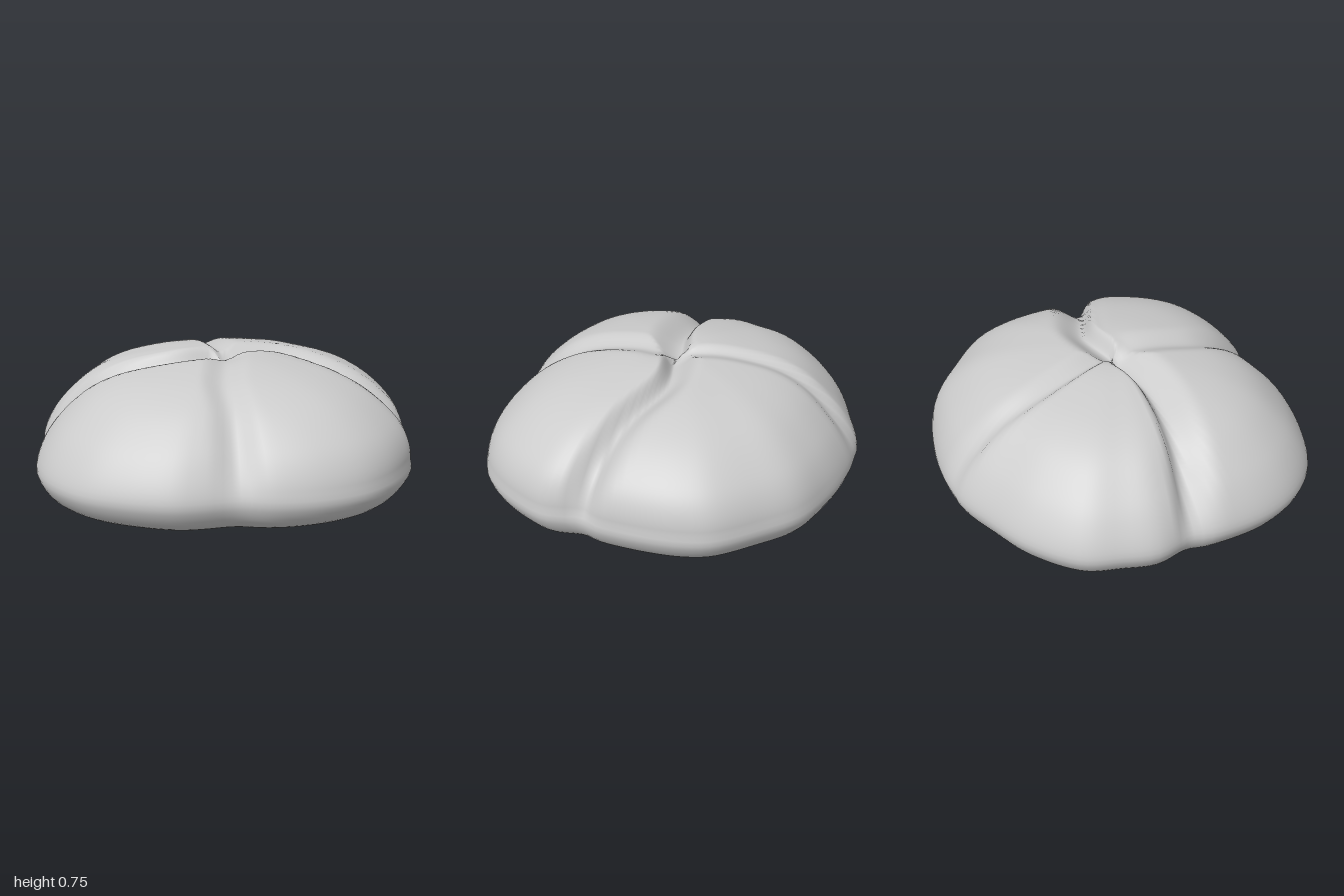
import * as THREE from 'three';
import { mergeVertices } from 'three/addons/utils/BufferGeometryUtils.js';

const COLS = 144, ROWS = 84;

// Footprint of the loaf seen from above, as x, z
const outline = new THREE.CatmullRomCurve3([
  [1, 0], [0.99, 0.1], [0.96, 0.2], [0.98, 0.38], [0.93, 0.52], [0.82, 0.7], [0.68, 0.83], [0.47, 0.92],
  [0.24, 0.95], [0.04, 0.925], [-0.15, 0.96], [-0.28, 0.97], [-0.5, 0.92], [-0.73, 0.81], [-0.9, 0.62],
  [-0.98, 0.4], [-0.99, 0.1], [-0.965, -0.03], [-1, -0.22], [-0.95, -0.4], [-0.88, -0.59], [-0.65, -0.79],
  [-0.4, -0.9], [-0.18, -0.975], [0.12, -0.975], [0.36, -0.93], [0.58, -0.85], [0.75, -0.7], [0.93, -0.5],
  [0.98, -0.36], [1, -0.2],
].map(([x, z]) => new THREE.Vector3(x, 0, z)), true);

// Cross-section from the centre of the base to the crown: share of the radius, height
const profile = new THREE.SplineCurve([
  [0, 0], [0.35, 0.003], [0.65, 0.01], [0.8, 0.02], [0.93, 0.08], [0.99, 0.16], [1, 0.23], [0.955, 0.34],
  [0.87, 0.46], [0.73, 0.59], [0.58, 0.67], [0.4, 0.72], [0.2, 0.75], [0, 0.745],
].map(([r, y]) => new THREE.Vector2(r, y)));

// Score cuts: path in x, z, depth, and the width on each side of the path
const cuts = [
  { path: [[0.05, 0], [0.3, -0.04], [0.6, 0.07], [0.97, 0.2]], depth: 0.085, plus: 0.07, minus: 0.16 },
  { path: [[-0.05, 0], [-0.3, 0.05], [-0.65, 0.03], [-0.98, -0.03]], depth: 0.085, plus: 0.07, minus: 0.19 },
  { path: [[0.02, 0.1], [-0.01, 0.45], [0.03, 0.7], [0.05, 0.94]], depth: 0.035, plus: 0.13, minus: 0.13 },
  { path: [[0, -0.05], [-0.08, -0.3], [-0.13, -0.6], [-0.1, -0.97]], depth: 0.035, plus: 0.13, minus: 0.06 },
].map((c) => ({
  ...c,
  points: new THREE.SplineCurve(c.path.map(([x, z]) => new THREE.Vector2(x, z))).getPoints(28),
}));

// How far the crust sinks at x, z because of the cuts
function cutDepth(x, z) {
  let deepest = 0;
  for (const { points, depth, plus, minus } of cuts) {
    let best = Infinity, side = 0;
    for (let k = 0; k < points.length - 1; k++) {
      const a = points[k], b = points[k + 1];
      const dx = b.x - a.x, dz = b.y - a.y;
      const t = THREE.MathUtils.clamp(((x - a.x) * dx + (z - a.y) * dz) / (dx * dx + dz * dz), 0, 1);
      const d = Math.hypot(x - a.x - dx * t, z - a.y - dz * t);
      if (d < best) {
        best = d;
        side = dx * (z - a.y) - dz * (x - a.x);
      }
    }
    const w = best / (side > 0 ? plus : minus);
    if (w < 1) deepest = Math.max(deepest, depth * (1 - w * w * (3 - 2 * w)));
  }
  return deepest;
}

function loafGeometry() {
  const positions = [], index = [];
  const rim = outline.getSpacedPoints(COLS);
  for (let j = 0; j <= ROWS; j++) {
    const u = j / ROWS;
    const p = profile.getPointAt(u), t = profile.getTangentAt(u);
    const r = j === 0 || j === ROWS ? 0 : p.x;
    const upper = THREE.MathUtils.smoothstep(p.y, 0.1, 0.5);
    for (let i = 0; i < COLS; i++) {
      const angle = Math.atan2(rim[i].z, rim[i].x);
      // The +x side swells more than the others
      const swell = p.y > 0.25 && r > 0
        ? 0.06 * Math.max(0, Math.cos(angle)) * Math.sin(Math.PI * Math.min(1, (p.y - 0.25) / 0.5)) : 0;
      const x = rim[i].x * (r + swell * r), z = rim[i].z * (r + swell * r);
      // Push the cuts in along the surface normal
      const d = upper * cutDepth(x, z);
      const ny = j === ROWS ? 1 : Math.max(0, -t.x), nr = r > 0 ? Math.max(0, t.y) : 0;
      positions.push(x - Math.cos(angle) * nr * d, p.y - ny * d, z - Math.sin(angle) * nr * d);
      if (j < ROWS) {
        const a = j * COLS + i, c = j * COLS + (i + 1) % COLS;
        if (j < ROWS - 1) index.push(a, a + COLS, c + COLS);
        else index.push(a, a + COLS, c);
        if (j > 0 && j < ROWS - 1) index.push(a, c + COLS, c);
      }
    }
  }
  const geometry = new THREE.BufferGeometry();
  geometry.setAttribute('position', new THREE.Float32BufferAttribute(positions, 3));
  geometry.setIndex(index);
  const merged = mergeVertices(geometry, 1e-5);
  merged.computeVertexNormals();
  return merged;
}

export function createModel() {
  const group = new THREE.Group();
  group.name = 'breadRoll';
  const loaf = new THREE.Mesh(loafGeometry(), new THREE.MeshStandardMaterial({ color: 0xcccccc }));
  loaf.name = 'scoredLoaf';
  group.add(loaf);
  return group;
}
